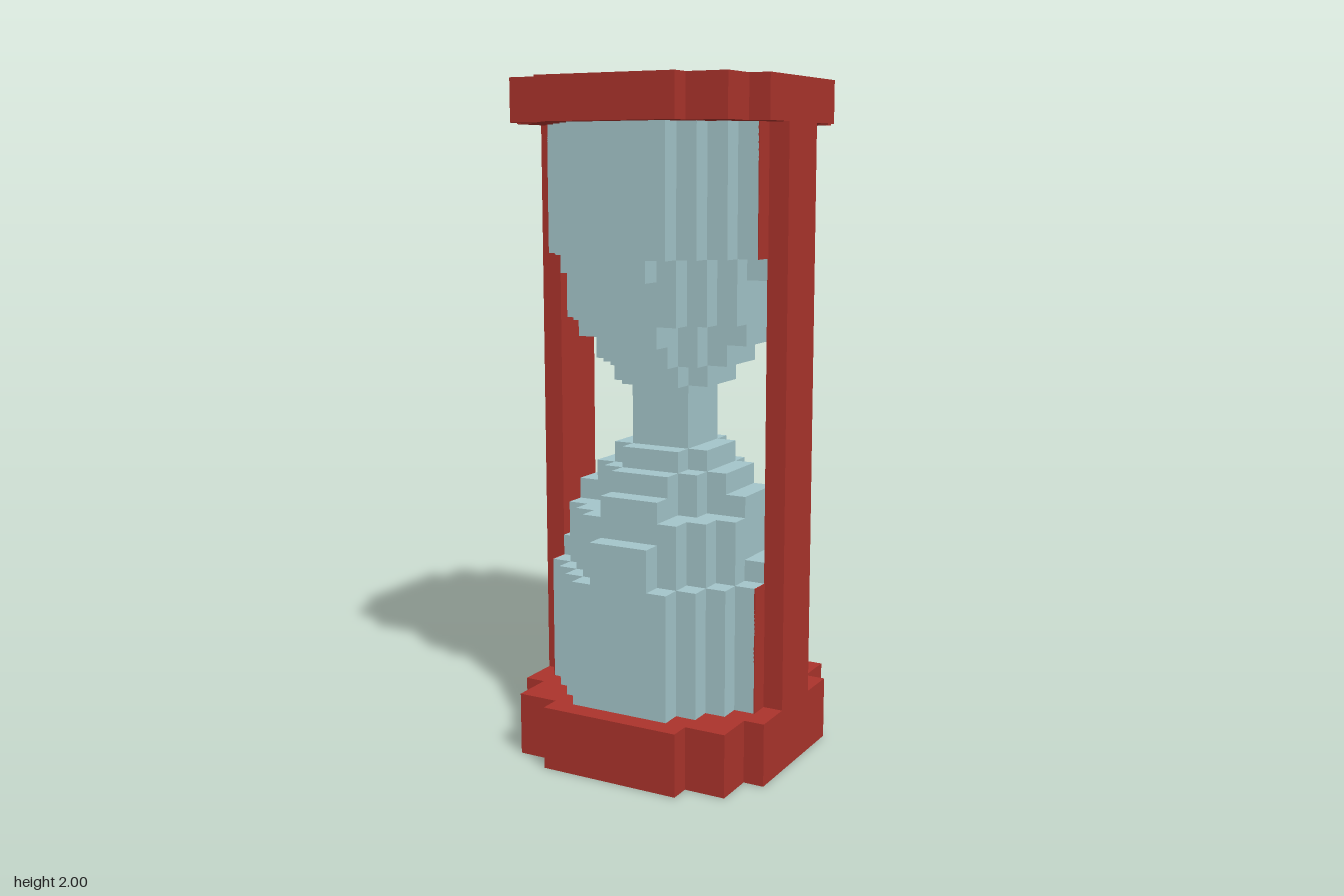
import * as THREE from 'three';

const U = 1 / 16; // edge of one block; the model is 32 blocks tall

const frameRed = new THREE.MeshStandardMaterial({ color: 0xaa332b });
frameRed.name = 'frame red';
const glassBlue = new THREE.MeshStandardMaterial({ color: 0xa3c4c9 });
glassBlue.name = 'glass blue';

// Half widths of each block row, from the middle row outwards
const CAP = [6, 6, 6, 6, 5, 5, 3];
const DISCS = {
  1: [1, 1],
  2: [2, 2, 1],
  3: [3, 3, 2, 1],
  4: [4, 4, 4, 3, 2],
  5: [5, 5, 5, 4, 3, 2],
};

// Stepped round slab between block heights y0 and y1
function slab(name, rows, y0, y1, material) {
  const side = [];
  const n = rows.length - 1;
  for (let z = -n; z <= n; z++) {
    const w = rows[Math.abs(z)];
    if (z === -n || rows[Math.abs(z - 1)] !== w) side.push([w + 0.5, z - 0.5]);
    if (z === n || rows[Math.abs(z + 1)] !== w) side.push([w + 0.5, z + 0.5]);
  }
  const left = side.map(([x, z]) => [-x, z]).reverse();
  const points = [...side, ...left].map(([x, z]) => new THREE.Vector2(x * U, z * U));
  const geometry = new THREE.ExtrudeGeometry(new THREE.Shape(points), {
    depth: (y1 - y0) * U, bevelEnabled: false,
  });
  geometry.rotateX(-Math.PI / 2);
  geometry.translate(0, y0 * U, 0);
  const mesh = new THREE.Mesh(geometry, material);
  mesh.name = name;
  return mesh;
}

// Box centred on block position (x, z), standing between heights y0 and y1
function block(name, x, z, width, depth, y0, y1, material) {
  const geometry = new THREE.BoxGeometry(width * U, (y1 - y0) * U, depth * U);
  const mesh = new THREE.Mesh(geometry, material);
  mesh.position.set(x * U, (y0 + y1) / 2 * U, z * U);
  mesh.name = name;
  return mesh;
}

export function createModel() {
  const model = new THREE.Group();
  model.name = 'hourglass';

  // Base and lid
  model.add(slab('base', CAP, 0, 3, frameRed));
  model.add(slab('lid', CAP, 30, 32, frameRed));

  // Posts, with thin red backing strips on the bulb beside them
  for (const s of [-1, 1]) {
    model.add(block(s > 0 ? 'leftPost' : 'rightPost', s * 6, 0, 1, 3, 3, 30, frameRed));
    for (const z of [-2, 2]) {
      for (const [y0, y1] of [[3, 9], [24, 30]]) {
        model.add(block('postBacking', s * 5.51, z, 0.06, 1, y0, y1, frameRed));
      }
    }
  }

  // Glass bulbs: stacked discs narrowing to the neck
  const glass = new THREE.Group();
  glass.name = 'glass';
  const layers = [
    ['lowerBulb', 5, 3, 9], ['lowerBulb', 4, 9, 12], ['lowerBulb', 3, 12, 14],
    ['lowerBulb', 2, 14, 15], ['neck', 1, 15, 18], ['upperBulb', 2, 18, 19],
    ['upperBulb', 3, 19, 21], ['upperBulb', 4, 21, 24], ['upperBulb', 5, 24, 30],
  ];
  for (const [name, radius, y0, y1] of layers) {
    glass.add(slab(name, DISCS[radius], y0, y1, glassBlue));
  }

  // Raised steps on the four sides: bars running through the bulb
  const steps = [
    // length, start, end along x, end along z
    [11, 9, 10, 11], [9, 12, 13, 13], [9, 20, 21, 21], [11, 23, 24, 24],
  ];
  for (const [length, y0, endX, endZ] of steps) {
    glass.add(block('sideStep', 0, 0, length, 3, y0, endX, glassBlue));
    glass.add(block('frontBackStep', 0, 0, 3, length, y0, endZ, glassBlue));
  }
  model.add(glass);
  return model;
}
